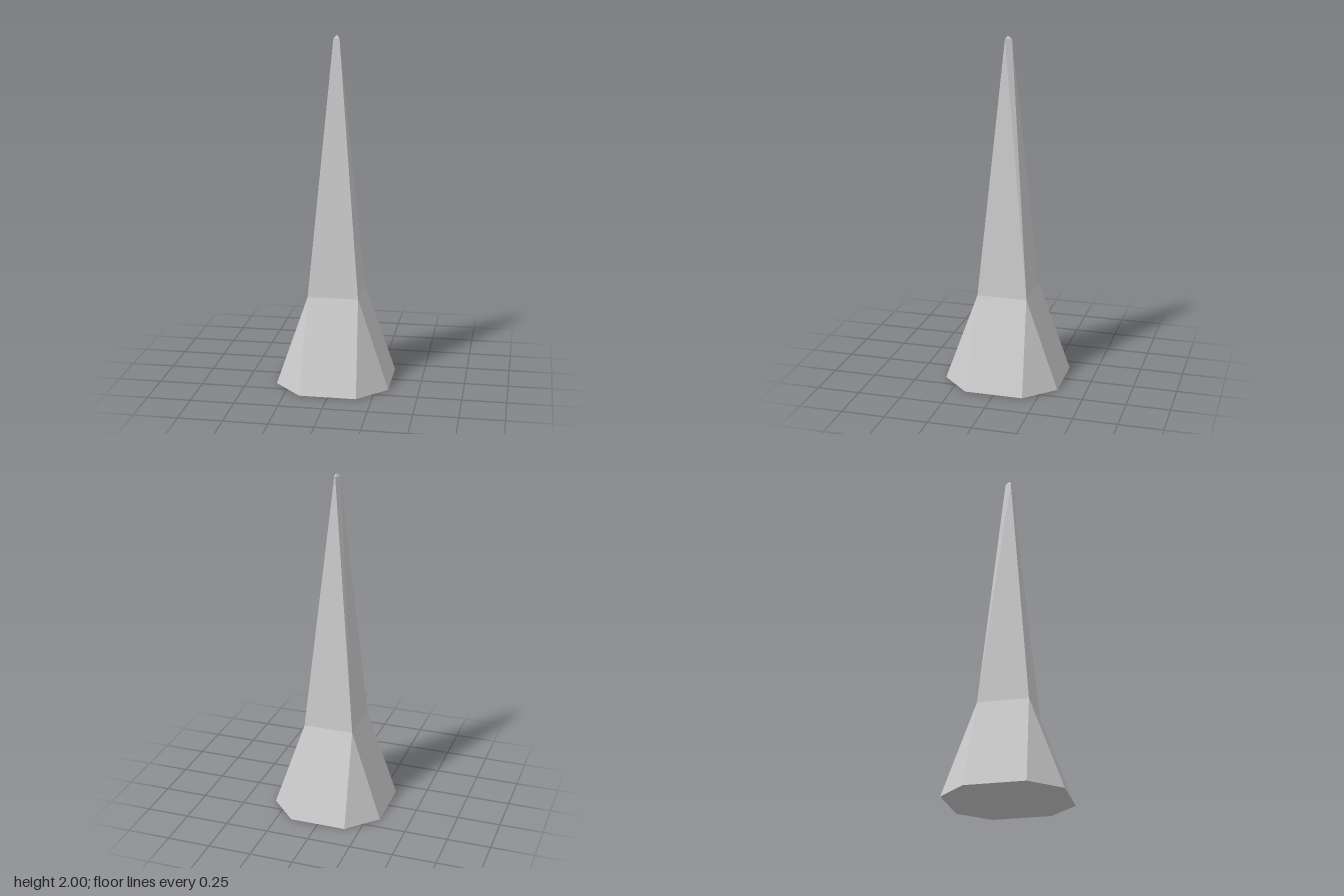
import * as THREE from 'three';

const material = new THREE.MeshStandardMaterial({ color: 0xcccccc, flatShading: true });

// Eight-point ring, counterclockwise from above; neighbouring points may coincide.
const ring = (y, points) => points.map(([x, z]) => new THREE.Vector3(x, y, z));
const same = (y, x, z) => ring(y, Array(8).fill([x, z]));

// Skin consecutive rings, skipping collapsed triangles.
function loft(name, rings) {
  const corners = [];
  const triangle = (a, b, c) => {
    if (!a.equals(b) && !b.equals(c) && !c.equals(a)) corners.push(a, b, c);
  };
  for (let r = 0; r + 1 < rings.length; r++) {
    const [low, high] = [rings[r], rings[r + 1]];
    for (let i = 0; i < 8; i++) {
      const j = (i + 1) % 8;
      triangle(low[i], low[j], high[j]);
      triangle(low[i], high[j], high[i]);
    }
  }
  const geometry = new THREE.BufferGeometry().setFromPoints(corners);
  geometry.computeVertexNormals();
  const mesh = new THREE.Mesh(geometry, material);
  mesh.name = name;
  return mesh;
}

export function createModel() {
  // Octagonal foot
  const foot = ring(0, [
    [0.163, 0.335], [0.325, 0.168], [0.325, -0.168], [0.163, -0.335],
    [-0.163, -0.335], [-0.325, -0.168], [-0.325, 0.168], [-0.163, 0.335],
  ]);

  // Square waist, each corner doubled
  const w = 0.145;
  const waist = ring(0.525, [
    [w, w], [w, w], [w, -w], [w, -w], [-w, -w], [-w, -w], [-w, w], [-w, w],
  ]);

  // Small triangular neck under the point
  const left = [0.017, 0.016], right = [-0.017, 0.016], back = [0, -0.02];
  const neck = ring(1.982, [left, left, left, back, back, right, right, right]);

  const group = new THREE.Group();
  group.name = 'spike';
  group.add(
    loft('flaredBase', [same(0, 0, 0), foot, waist]),
    loft('taperedShaft', [waist, neck]),
    loft('tip', [neck, same(2, 0, 0.004)]),
  );
  return group;
}
